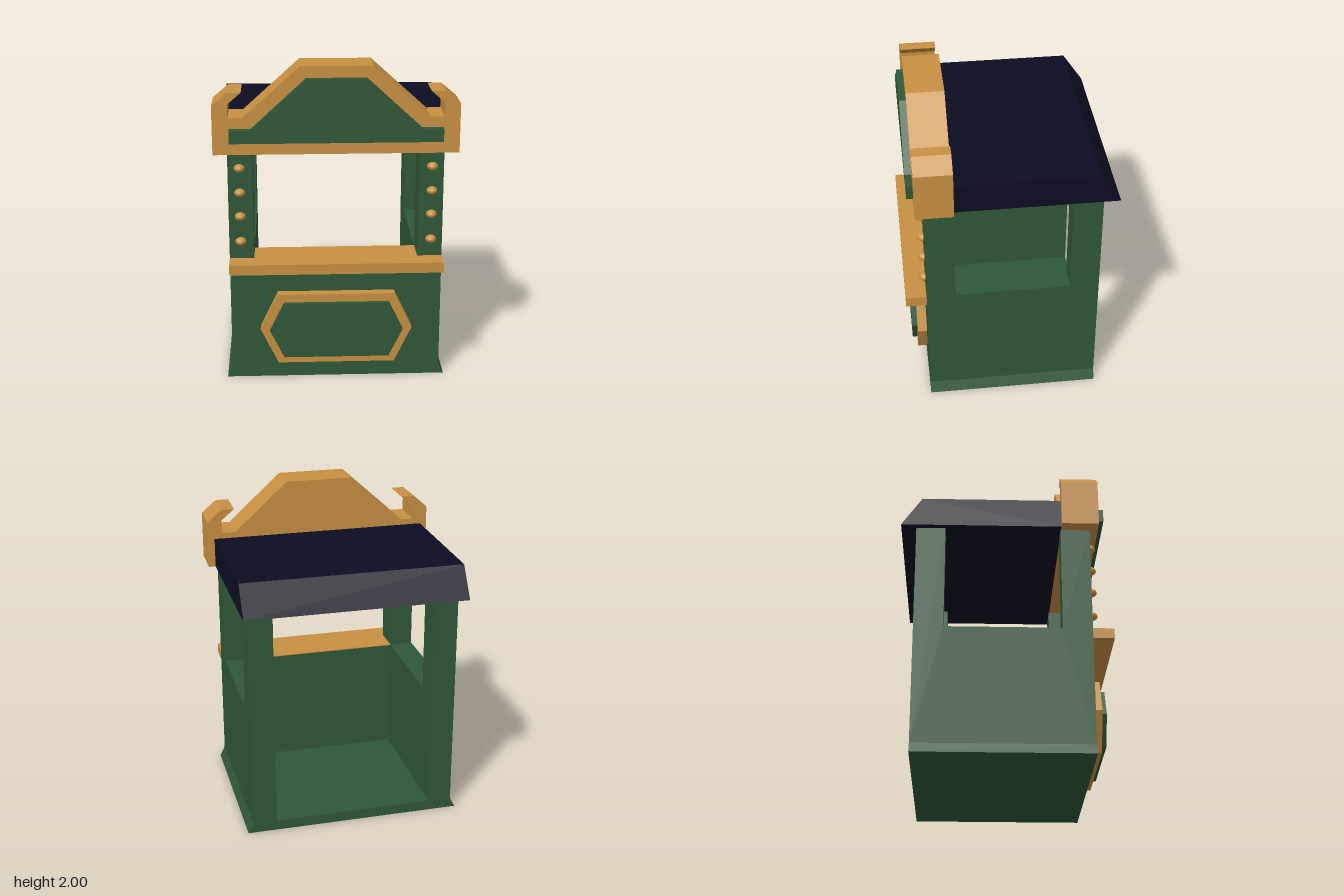
import * as THREE from 'three';

const green = new THREE.MeshStandardMaterial({ name: 'painted green', color: 0x2f5738 });
const gold = new THREE.MeshStandardMaterial({ name: 'golden wood', color: 0xc89042 });
const navy = new THREE.MeshStandardMaterial({ name: 'navy roof', color: 0x0d0d23 });

const BACK = -0.55, FRONT = 0.52, INNER = 0.34; // body depth
const HALF = 0.65, POST = 0.15, SILL = 0.8, TOP = 1.47, FLOOR = 0.065;

const toPoints = (pts) => pts.map(([x, y]) => new THREE.Vector2(x, y));

// Closed outline from its right half, listed bottom to top
const mirrored = (half) => [...half, ...half.map(([x, y]) => [-x, y]).reverse()];

export function createModel() {
  const group = new THREE.Group();

  function add(name, geometry, material) {
    const mesh = new THREE.Mesh(geometry, material);
    mesh.name = name;
    group.add(mesh);
    return mesh;
  }

  function box(name, material, [x0, x1], [y0, y1], [z0, z1]) {
    const geometry = new THREE.BoxGeometry(x1 - x0, y1 - y0, z1 - z0);
    geometry.translate((x0 + x1) / 2, (y0 + y1) / 2, (z0 + z1) / 2);
    return add(name, geometry, material);
  }

  // Outline in x, y extruded from z0 to z1
  function plate(name, material, outline, z0, z1, hole) {
    const shape = new THREE.Shape(toPoints(outline));
    if (hole) shape.holes.push(new THREE.Path(toPoints(hole)));
    const geometry = new THREE.ExtrudeGeometry(shape, { depth: z1 - z0, bevelEnabled: false });
    geometry.translate(0, 0, z0);
    return add(name, geometry, material);
  }

  // Outline in z, y extruded across x0 to x1
  function sidePlate(name, material, outline, x0, x1) {
    const shape = new THREE.Shape(toPoints(outline.map(([z, y]) => [-z, y])));
    const geometry = new THREE.ExtrudeGeometry(shape, { depth: x1 - x0, bevelEnabled: false });
    geometry.rotateY(Math.PI / 2);
    geometry.translate(x0, 0, 0);
    return add(name, geometry, material);
  }

  // Floor with flared skirt
  plate('floor', green, mirrored([[0.682, 0], [HALF, FLOOR]]), BACK, FRONT);

  // Side walls with window opening and corner posts
  const wall = [
    [BACK, FLOOR], [FRONT, FLOOR], [FRONT, TOP], [INNER, TOP],
    [INNER, SILL], [-0.37, SILL], [-0.37, TOP], [BACK, TOP],
  ];
  sidePlate('leftWall', green, wall, HALF - POST, HALF);
  sidePlate('rightWall', green, wall, -HALF, POST - HALF);

  // Front wall, counter top and ledge
  const opening = [POST - HALF, HALF - POST];
  box('frontWall', green, opening, [FLOOR, SILL - 0.006], [INNER, FRONT]);
  box('counterTop', gold, opening, [SILL - 0.006, SILL], [INNER, FRONT]);
  box('counterLedge', gold, [-HALF, HALF], [0.735, SILL], [FRONT, 0.648]);

  // Six-sided front panel and its frame
  const hexagon = (tip, flat, y0, y1) =>
    mirrored([[flat, y0], [tip, (y0 + y1) / 2], [flat, y1]]);
  const inner = hexagon(0.41, 0.323, 0.17, 0.525);
  plate('panelFrame', gold, hexagon(0.469, 0.36, 0.12, 0.576), FRONT, 0.58, inner);
  plate('frontPanel', green, inner, FRONT, 0.612);

  // Roof with sloping back edge
  sidePlate('roof', navy, [[INNER + 0.005, TOP], [-0.642, TOP], [-0.515, 1.655], [INNER + 0.005, 1.655]], -0.69, 0.69);

  // Sign board with curled ends, and raised panel
  plate('signBoard', gold, mirrored([
    [0.733, TOP], [0.733, 1.768], [0.64, 1.846], [0.558, 1.846],
    [0.64, 1.775], [0.64, 1.692], [0.554, 1.692], [0.214, 2],
  ]), 0.343, 0.57);
  plate('signPanel', green, mirrored([
    [0.633, 1.547], [0.633, 1.628], [0.506, 1.628], [0.178, 1.93],
  ]), 0.57, 0.61);

  // Lamps on the front posts
  const lamp = new THREE.SphereGeometry(1, 16, 10);
  for (const x of [-0.58, 0.58]) {
    for (const y of [0.91, 1.07, 1.22, 1.373]) {
      const bulb = add('lamp', lamp, gold);
      bulb.position.set(x, y, FRONT);
      bulb.scale.set(0.033, 0.026, 0.038);
    }
  }

  return group;
}
